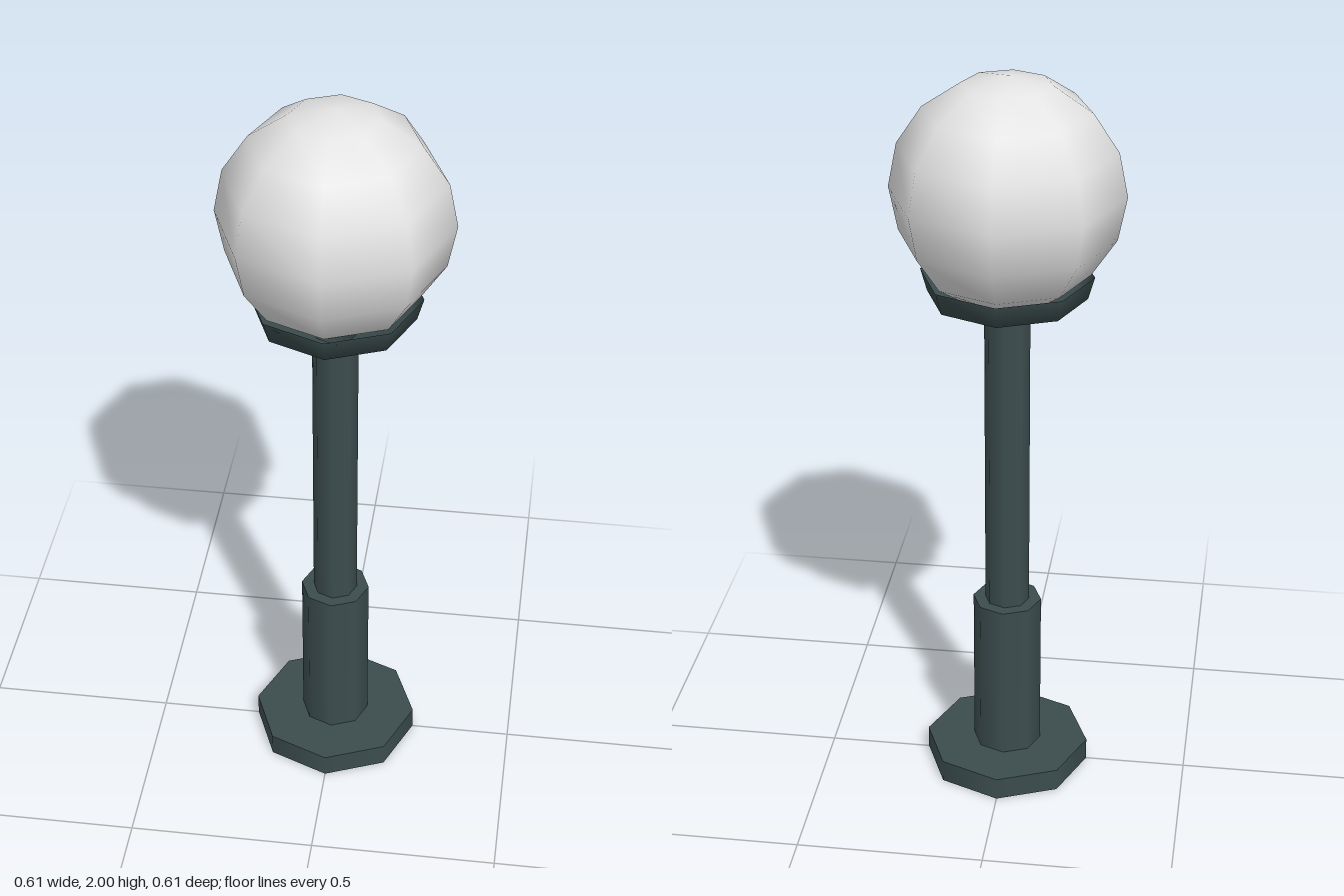
import * as THREE from 'three';

const SIDES = 8;

export function createModel() {
  const model = new THREE.Group();
  model.name = 'streetLamp';

  const metal = new THREE.MeshStandardMaterial({ color: 0x3c4d4e, side: THREE.DoubleSide });
  metal.name = 'dark green metal';
  const glass = new THREE.MeshStandardMaterial({ color: 0xe4e4e4 });
  glass.name = 'frosted glass';

  // Open octagonal band turned from [radius, height] points, smooth within the band
  const band = (name, points) => {
    const profile = points.map(([r, y]) => new THREE.Vector2(r, y));
    const mesh = new THREE.Mesh(new THREE.LatheGeometry(profile, SIDES), metal);
    mesh.name = name;
    model.add(mesh);
  };

  // Hollow foot and the sleeve standing on it
  band('footRim', [[0.225, 0], [0.225, 0.063]]);
  band('footTop', [[0.225, 0.063], [0.093, 0.063]]);
  band('sleeve', [[0.093, 0.063], [0.093, 0.515]]);
  band('sleeveTop', [[0.093, 0.515], [0.06, 0.515]]);

  // Pole and the cup holding the globe
  band('pole', [[0.06, 0.515], [0.06, 1.365]]);
  band('globeCup', [[0.06, 1.365], [0.208, 1.417], [0.225, 1.477]]);

  // Globe
  const globe = new THREE.Mesh(new THREE.SphereGeometry(0.303, SIDES, 8), glass);
  globe.name = 'globe';
  globe.position.y = 1.697;
  model.add(globe);

  return model;
}
